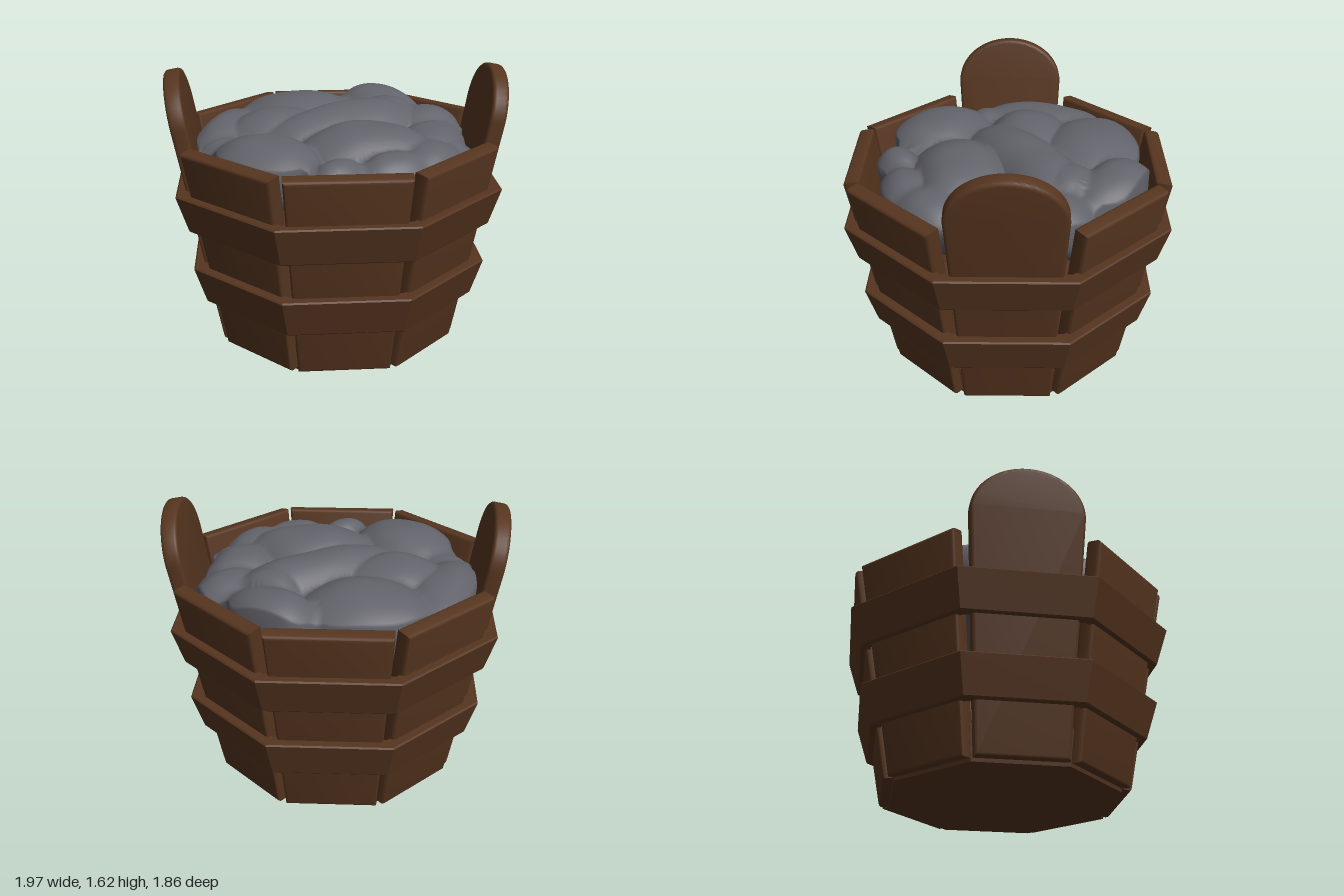
import * as THREE from 'three';
import { toCreasedNormals } from 'three/addons/utils/BufferGeometryUtils.js';

const wood = new THREE.MeshStandardMaterial({ color: 0x56351f });
wood.name = 'brown wood';
const stone = new THREE.MeshStandardMaterial({ color: 0x63636b });
stone.name = 'grey coal';

const SLOPE = 0.185;                        // outward lean of the walls
const wallAt = (y) => 0.695 + SLOPE * y;    // distance from axis to the outer wall face
const BEVEL = 0.02, THICK = 0.095;

function mesh(name, geometry, material) {
  const m = new THREE.Mesh(geometry, material);
  m.name = name;
  return m;
}

// Tapered plank with soft edges; its outer face lies at z = 0
function plankGeometry(bottomHalf, topHalf, height, arch) {
  const b = bottomHalf - BEVEL, t = topHalf - BEVEL, h = height - BEVEL;
  const s = new THREE.Shape();
  s.moveTo(-b, BEVEL);
  s.lineTo(b, BEVEL);
  if (arch) {
    s.lineTo(t, h - arch);
    s.absellipse(0, h - arch, t, arch, 0, Math.PI, false);
  } else {
    s.lineTo(t, h);
    s.lineTo(-t, h);
  }
  s.closePath();
  const g = new THREE.ExtrudeGeometry(s, {
    depth: THICK - 2 * BEVEL, bevelEnabled: true, bevelThickness: BEVEL,
    bevelSize: BEVEL, bevelSegments: 3, curveSegments: 28,
  });
  g.translate(0, 0, BEVEL - THICK);
  return toCreasedNormals(g, 0.6);
}

// Octagonal hoop around the wall
function hoop(name, y0, y1, r0, r1) {
  const profile = [
    [wallAt(y0) - 0.03, y0], [r0 - 0.006, y0], [r0, y0 + 0.006],
    [r1, y1 - 0.008], [r1 - 0.008, y1], [wallAt(y1) - 0.03, y1], [wallAt(y0) - 0.03, y0],
  ].map(([r, y]) => new THREE.Vector2(r / Math.cos(Math.PI / 8), y));
  const g = new THREE.LatheGeometry(profile, 8, Math.PI / 8).toNonIndexed();
  g.computeVertexNormals();
  return mesh(name, g, wood);
}

// Lumps of the heap: x, z, half length, half width, turn, top height
const LUMPS = [
  [-0.17, -0.5, 0.36, 0.3, 0.1, 1.34], [0.33, -0.6, 0.26, 0.21, -0.5, 1.35],
  [-0.62, -0.2, 0.4, 0.2, 1.4, 1.29], [-0.34, -0.13, 0.3, 0.24, 0.3, 1.345],
  [0.08, -0.12, 0.5, 0.22, 0.5, 1.37], [-0.42, 0.42, 0.31, 0.27, -0.6, 1.33],
  [0.15, 0.28, 0.37, 0.25, 0.1, 1.355], [0.58, 0.06, 0.26, 0.2, 1.2, 1.29],
  [0.55, -0.28, 0.24, 0.2, 0.6, 1.3], [-0.02, 0.64, 0.16, 0.14, 0, 1.27],
  [0.28, 0.58, 0.22, 0.16, 0.4, 1.28], [0.48, 0.4, 0.24, 0.18, 0.9, 1.28],
  [-0.62, 0.16, 0.19, 0.13, 0.2, 1.24], [0.33, -0.33, 0.2, 0.18, 0.3, 1.345],
  [0.64, 0.22, 0.14, 0.13, 0, 1.23], [0.68, -0.2, 0.12, 0.12, 0, 1.24],
];

// Highest lump surface at a point, and whether any lump covers it
function heapAt(x, z) {
  let y = 1.17, covered = false;
  const wx = x + 0.02 * Math.sin(9 * z + 1), wz = z + 0.02 * Math.sin(8 * x);
  for (const [cx, cz, a, b, turn, top] of LUMPS) {
    const dx = wx - cx, dz = wz - cz, c = Math.cos(turn), s = Math.sin(turn);
    const d = Math.hypot((dx * c - dz * s) / a, (dx * s + dz * c) / b);
    if (d < 1) covered = true;
    y = Math.max(y, top - 0.11 * d ** 2.6);
  }
  return { y: y + 0.005 * Math.sin(13 * x + 7 * z) * Math.sin(11 * z - 5 * x), covered };
}

function heapGeometry() {
  const N = 128, RINGS = 56, pos = [], index = [];
  // Skirt below the rim, closed underneath: radius factor, height
  const skirt = [[1.0, 1.13], [0.985, 1.07], [0.95, 1.0], [0.5, 0.97], [0, 0.97]];
  const rim = [];
  for (let j = 0; j < N; j++) {
    const t = (j / N) * Math.PI * 2;
    let r = 0.83;
    while (r > 0.6 && !heapAt(r * Math.sin(t), r * Math.cos(t)).covered) r -= 0.005;
    rim.push(r);
  }
  const soft = rim.map((r, j) => (rim[(j + N - 1) % N] + 2 * r + rim[(j + 1) % N]) / 4);
  for (let i = 0; i <= RINGS + skirt.length; i++) {
    for (let j = 0; j < N; j++) {
      const t = (j / N) * Math.PI * 2, low = skirt[i - RINGS - 1];
      const r = soft[j] * (low ? low[0] : i / RINGS);
      const x = r * Math.sin(t), z = r * Math.cos(t);
      pos.push(x, low ? low[1] : heapAt(x, z).y, z);
      if (i === 0) continue;
      const k = (j + 1) % N, a = (i - 1) * N, b = i * N;
      index.push(a + j, b + j, b + k, a + j, b + k, a + k);
    }
  }
  const g = new THREE.BufferGeometry();
  g.setAttribute('position', new THREE.Float32BufferAttribute(pos, 3));
  g.setIndex(index);
  g.computeVertexNormals();
  return g;
}

export function createModel() {
  const model = new THREE.Group();
  model.name = 'coalBucket';

  // Eight leaning staves; the two at the sides rise into rounded handles
  const lean = Math.atan(SLOPE);
  const stave = plankGeometry(0.265, 0.34, 1.255, 0);
  const handle = plankGeometry(0.255, 0.325, 1.625, 0.25);
  for (let i = 0; i < 8; i++) {
    const isHandle = i % 4 === 2;
    const plank = mesh(isHandle ? 'handleStave' : 'stave', isHandle ? handle : stave, wood);
    plank.rotation.x = lean;
    plank.position.set(0, 0.01, wallAt(0));
    const pivot = new THREE.Group();
    pivot.name = 'stavePivot';
    pivot.rotation.y = (i * Math.PI) / 4;
    pivot.add(plank);
    model.add(pivot);
  }

  // Hoops
  model.add(hoop('lowerHoop', 0.3, 0.53, 0.783, 0.848));
  model.add(hoop('upperHoop', 0.76, 0.988, 0.863, 0.928));

  // Floor slab
  const k = 1 / Math.cos(Math.PI / 8);
  const floor = new THREE.CylinderGeometry(0.67 * k, 0.635 * k, 0.2, 8, 1, false, Math.PI / 8).toNonIndexed();
  floor.computeVertexNormals();
  const slab = mesh('floor', floor, wood);
  slab.position.y = 0.1;
  model.add(slab);

  // Heap of coal
  model.add(mesh('coalHeap', heapGeometry(), stone));
  return model;
}
